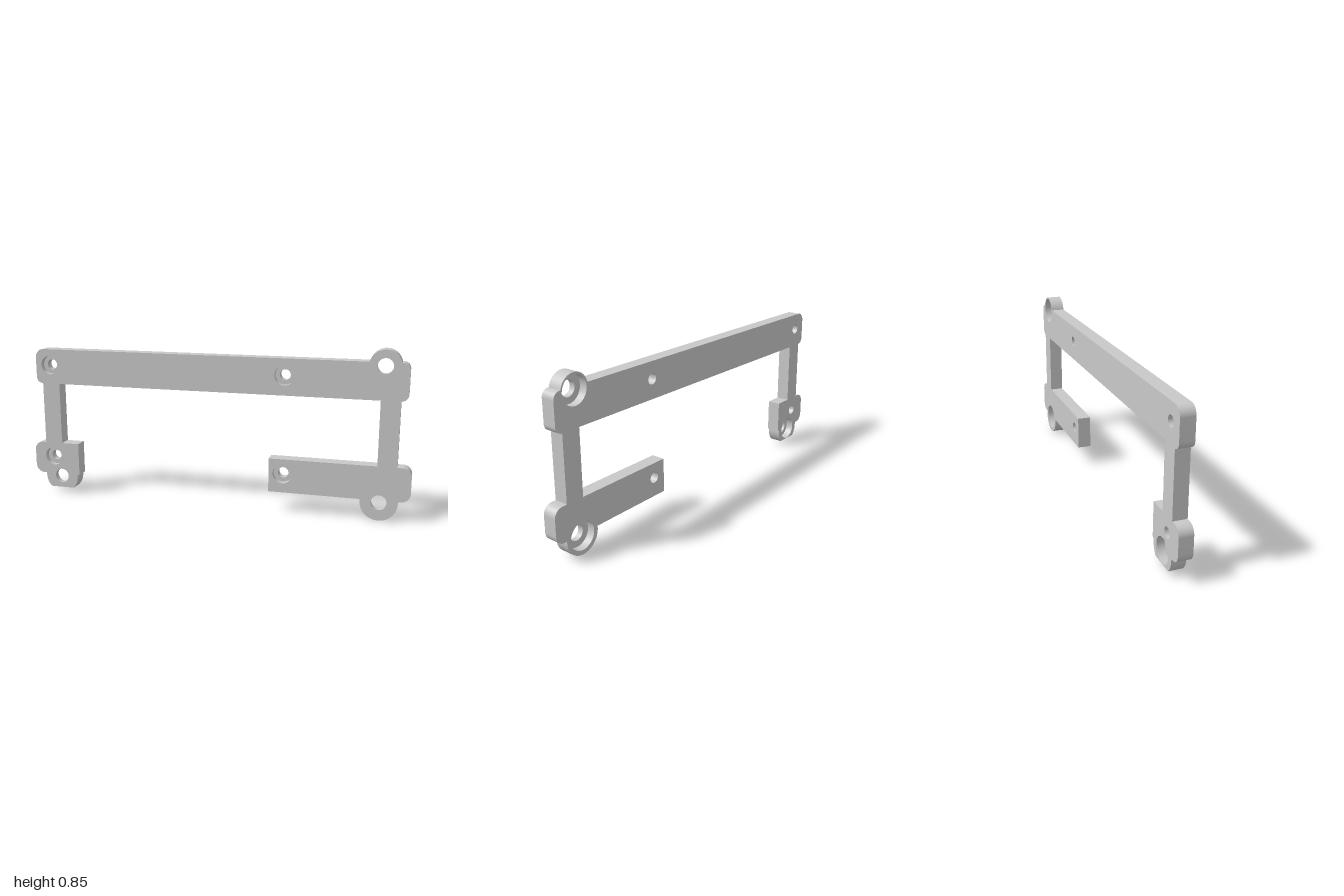
import * as THREE from 'three';
import { toCreasedNormals } from 'three/addons/utils/BufferGeometryUtils.js';

const FRONT = 0.035, BACK = -0.035, STEP = 0.005; // plate faces and counterbore floor
const ARC = 16, SIDES = 32;
const PI = Math.PI;

// x, y, through radius, counterbore radius, side the counterbore opens to
const HOLES = [
  ...[[-0.89, 0.7], [0.37, 0.7], [-0.89, 0.2], [0.37, 0.2]]
    .map(([x, y]) => ({ x, y, r: 0.027, bore: 0.049, front: true, name: 'screwHole' })),
  { x: 0.85, y: 0.767, r: 0.038, bore: 0.069, front: false, name: 'mountHole' },
  { x: 0.85, y: 0.092, r: 0.038, bore: 0.07, front: false, name: 'mountHole' },
  { x: -0.848, y: 0.092, r: 0.038, bore: 0.062, front: false, name: 'mountHole' },
];

// Bracket silhouette, counter-clockwise
function outline() {
  const s = new THREE.Shape();
  const path = (...pts) => pts.forEach(([x, y]) => s.lineTo(x, y));
  const arc = (x, y, r, a, b) => s.absarc(x, y, r, a, b, false);
  const low = 0.12, high = 0.2226; // angles where the lugs meet the bars

  // lower right arm with round lug
  s.moveTo(0.3, 0.276);
  path([0.3, 0.103]);
  arc(0.85, 0.092, 0.092, PI - low, 2 * PI + low);
  arc(0.955, 0.148, 0.045, -PI / 2, 0);
  arc(0.955, 0.231, 0.045, 0, PI / 2);
  path([0.93, 0.276]);
  // right post, top bar and its lug
  arc(0.93, 0.636, 0.035, -PI / 2, 0);
  arc(0.93, 0.75, 0.035, 0, PI / 2);
  arc(0.85, 0.768, 0.077, high, PI - high);
  arc(-0.925, 0.74, 0.045, PI / 2, PI);
  arc(-0.935, 0.636, 0.035, PI, 1.5 * PI);
  // left post and foot with a flat-bottomed lug
  path([-0.935, 0.276]);
  arc(-0.955, 0.231, 0.045, PI / 2, PI);
  arc(-0.955, 0.148, 0.045, PI, 1.5 * PI);
  arc(-0.848, 0.092, 0.092, PI - low, PI + 0.785);
  arc(-0.848, 0.092, 0.092, 2 * PI - 0.785, 2 * PI + low);
  path([-0.745, 0.103], [-0.745, 0.276], [-0.84, 0.276], [-0.84, 0.601],
    [0.835, 0.601], [0.835, 0.276]);
  return s;
}

// Creasing merges points closer than 0.01, so it is done at a larger scale
const crease = (geo) => toCreasedNormals(geo.scale(100, 100, 100), 0.5).scale(0.01, 0.01, 0.01);

// Flat face of the plate, pierced by the holes as they appear on that side
function faceGeometry(front) {
  const shape = outline();
  for (const h of HOLES) {
    const hole = new THREE.Path();
    hole.absarc(h.x, h.y, h.front === front ? h.bore : h.r, 0, 2 * PI, true);
    shape.holes.push(hole);
  }
  const geo = new THREE.ShapeGeometry(shape, ARC);
  if (!front) geo.index.array.reverse();
  geo.computeVertexNormals();
  return geo.translate(0, 0, front ? FRONT : BACK);
}

// Outer edge of the plate
function rimGeometry() {
  const pts = outline().getPoints(ARC);
  const pos = [];
  pts.forEach((a, i) => {
    const b = pts[(i + 1) % pts.length];
    if (a.distanceTo(b) < 1e-5) return;
    pos.push(a.x, a.y, BACK, b.x, b.y, BACK, b.x, b.y, FRONT);
    pos.push(a.x, a.y, BACK, b.x, b.y, FRONT, a.x, a.y, FRONT);
  });
  const geo = new THREE.BufferGeometry();
  geo.setAttribute('position', new THREE.Float32BufferAttribute(pos, 3));
  geo.computeVertexNormals();
  return crease(geo);
}

// Stepped inner wall of one hole, profiled from front to back
function holeGeometry(h) {
  const rf = h.front ? h.bore : h.r, rb = h.front ? h.r : h.bore;
  const profile = [[rf, FRONT], [rf, STEP], [rb, STEP], [rb, BACK]]
    .map(([r, z]) => new THREE.Vector2(r, z));
  const geo = new THREE.LatheGeometry(profile, SIDES).rotateX(PI / 2);
  return crease(geo).translate(h.x, h.y, 0);
}

export function createModel() {
  const group = new THREE.Group();
  group.name = 'mountingBracket';
  const grey = new THREE.MeshStandardMaterial({ color: 0xc8c8c8 });
  grey.name = 'grey';
  const add = (name, geo) => {
    const mesh = new THREE.Mesh(geo, grey);
    mesh.name = name;
    group.add(mesh);
  };
  add('frontFace', faceGeometry(true));
  add('backFace', faceGeometry(false));
  add('outerRim', rimGeometry());
  HOLES.forEach((h, i) => add(h.name + (i + 1), holeGeometry(h)));
  return group;
}
